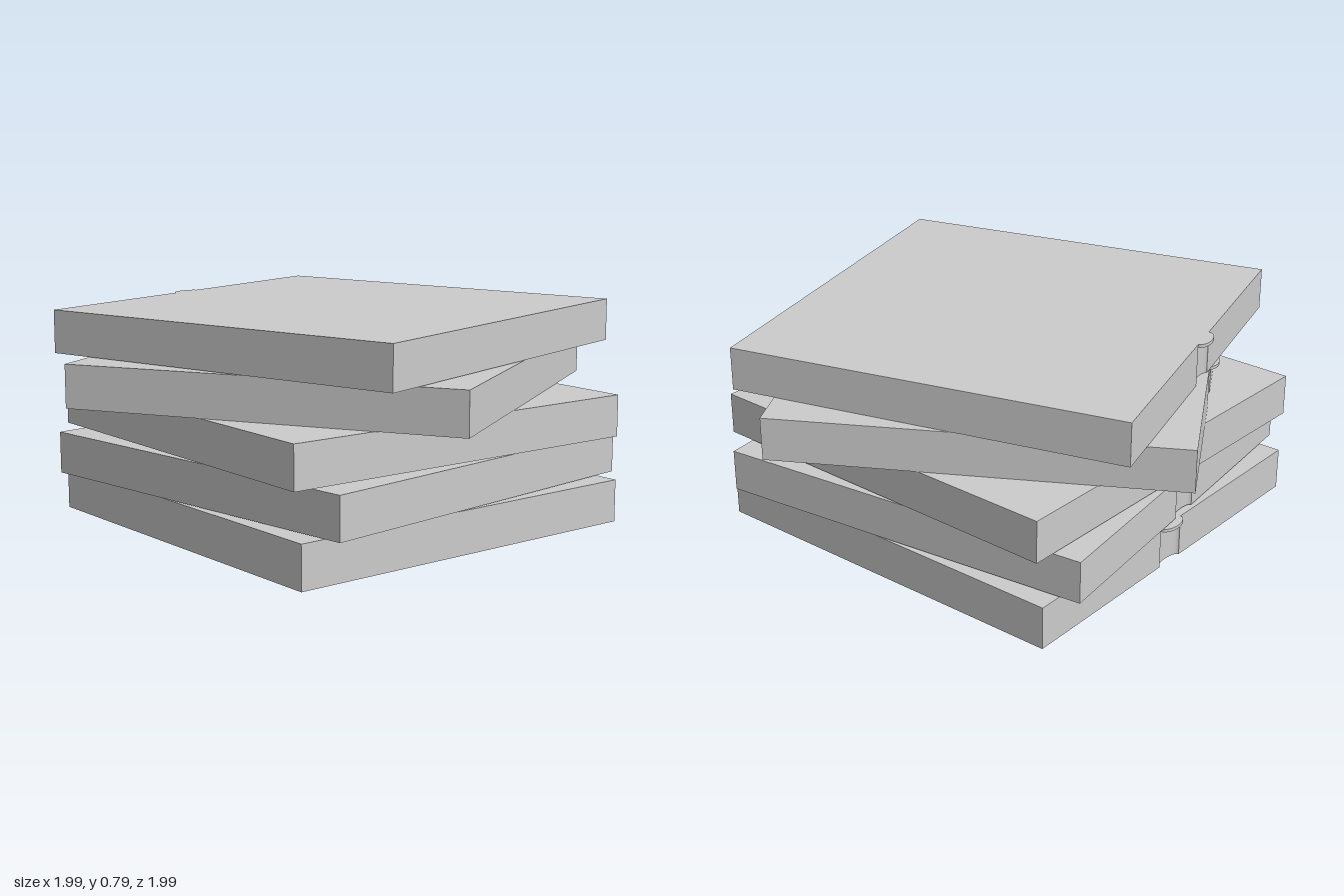
import * as THREE from 'three';

const HALF = 0.728;   // half the side of a box
const LID = 0.012;    // lid sheet thickness

// Square plan; the middle of the back edge bulges out (tab) or in (thumb notch)
function plan(depth) {
  const s = new THREE.Shape();
  s.moveTo(-HALF, -HALF);
  s.lineTo(HALF, -HALF);
  s.lineTo(HALF, HALF);
  s.lineTo(0.06, HALF);
  s.absellipse(0, HALF, 0.06, Math.abs(depth), 0, depth > 0 ? Math.PI : -Math.PI, depth < 0);
  s.lineTo(-HALF, HALF);
  s.closePath();
  return s;
}

function slab(name, depth, height, y, material) {
  const g = new THREE.ExtrudeGeometry(plan(depth), { depth: height, bevelEnabled: false, curveSegments: 12 });
  g.rotateX(-Math.PI / 2);
  const mesh = new THREE.Mesh(g, material);
  mesh.name = name;
  mesh.position.y = y;
  return mesh;
}

export function createModel() {
  const group = new THREE.Group();
  group.name = 'stackOfFlatBoxes';
  const card = new THREE.MeshStandardMaterial({ color: 0xcccccc });

  // base height, top height, turn in degrees, x shift
  const boxes = [
    [0.0, 0.157, 0, -0.004],
    [0.162, 0.316, 6.8, -0.004],
    [0.324, 0.478, -1.2, -0.005],
    [0.478, 0.634, 30, 0],
    [0.636, 0.792, 15.8, 0],
  ];

  boxes.forEach(([bottom, top, turn, x], i) => {
    const box = new THREE.Group();
    box.name = `flatBox${i + 1}`;
    const trayHeight = top - bottom - LID;
    // tray with a shallow thumb notch, closed by a lid with a small pull tab
    box.add(slab('tray', -0.02, trayHeight, 0, card));
    box.add(slab('lidWithTab', 0.032, LID, trayHeight, card));
    box.position.set(x, bottom, 0);
    box.rotation.y = THREE.MathUtils.degToRad(turn);
    group.add(box);
  });

  return group;
}
